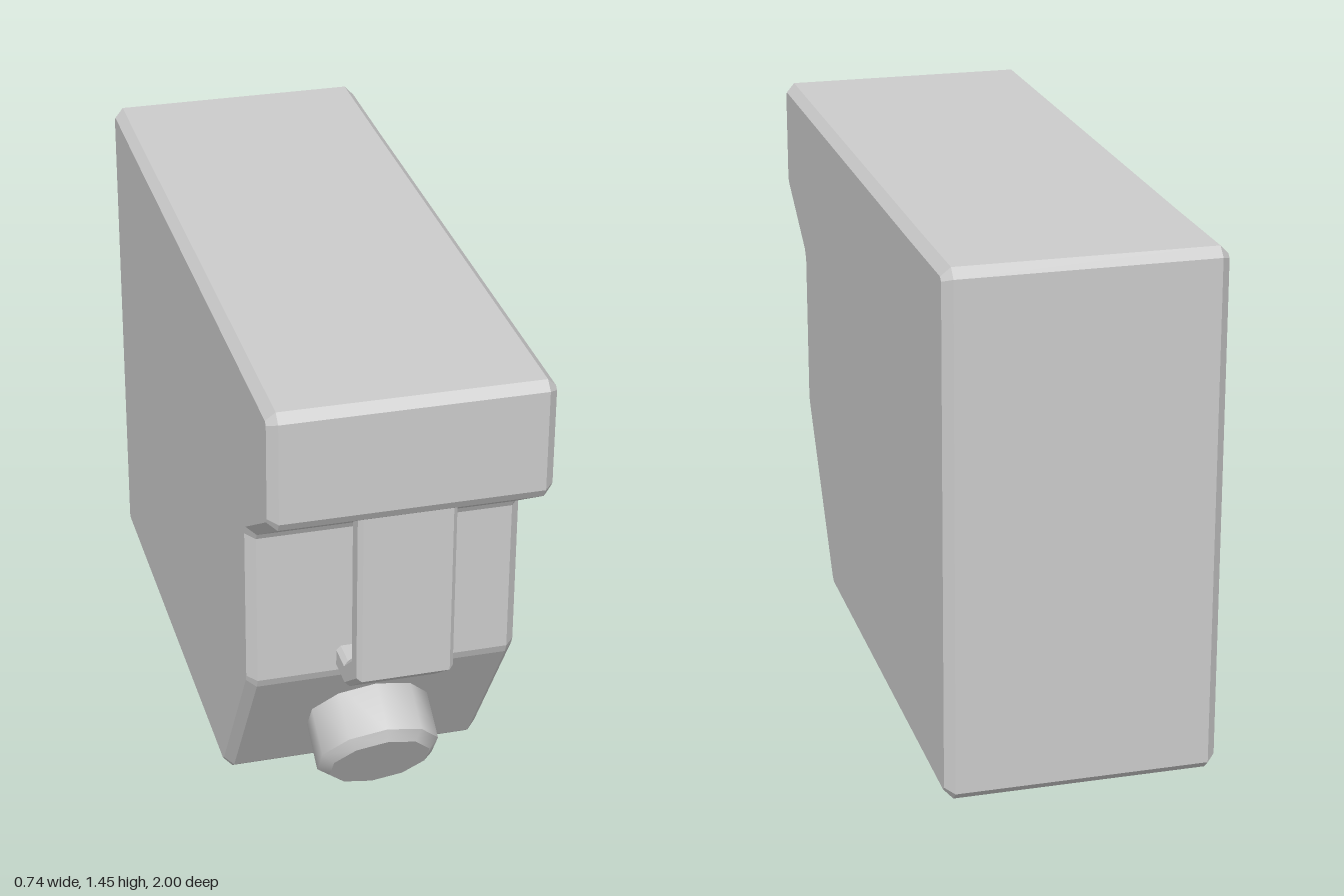
import * as THREE from 'three';
import { toCreasedNormals } from 'three/addons/utils/BufferGeometryUtils.js';

const grey = new THREE.MeshStandardMaterial({ color: 0xcccccc });

// Side profile given as [z, y], extruded across x to the full width with chamfered rims
function sideExtrude(name, profile, width, bevel) {
  const shape = new THREE.Shape(profile.map(([z, y]) => new THREE.Vector2(z, y)));
  const depth = width - 2 * bevel;
  const geo = new THREE.ExtrudeGeometry(shape, {
    depth, bevelEnabled: true, bevelSegments: 1,
    bevelSize: bevel, bevelThickness: bevel, bevelOffset: -bevel,
  });
  geo.translate(0, 0, -depth / 2);
  geo.rotateY(-Math.PI / 2);
  const mesh = new THREE.Mesh(geo, grey);
  mesh.name = name;
  return mesh;
}

export function createModel() {
  const model = new THREE.Group();
  model.name = 'dispenser';

  // Housing: overhanging top, recessed panel, slanted lower front
  model.add(sideExtrude('housing', [
    [-0.975, 0], [0.41, 0], [0.435, 0.02],
    [0.735, 0.485], [0.745, 0.51],
    [0.745, 0.95], [0.755, 0.968],
    [0.985, 1.115], [1, 1.14],
    [1, 1.42], [0.975, 1.443],
    [-0.64, 1.447], [-0.975, 1.45], [-1, 1.425],
    [-1, 0.025],
  ], 0.74, 0.025));

  // Lever: bent strap from under the overhang back into the panel
  model.add(sideExtrude('lever', [
    [0.70, 0.515], [0.835, 0.515], [0.96, 0.61], [0.96, 1.15],
    [0.89, 1.15], [0.89, 0.645], [0.82, 0.585], [0.70, 0.585],
  ], 0.26, 0.012));

  // Knob: chamfered ten-sided dial standing square on the slanted face
  const profile = [[0.172, -0.03], [0.172, 0.137], [0.142, 0.162], [0, 0.162]]
    .map(([r, y]) => new THREE.Vector2(r, y));
  const knob = new THREE.Mesh(
    toCreasedNormals(new THREE.LatheGeometry(profile, 10), 0.68), grey);
  knob.name = 'knob';
  knob.position.set(0, 0.258, 0.587);
  knob.rotation.x = 2.147;
  model.add(knob);

  return model;
}
